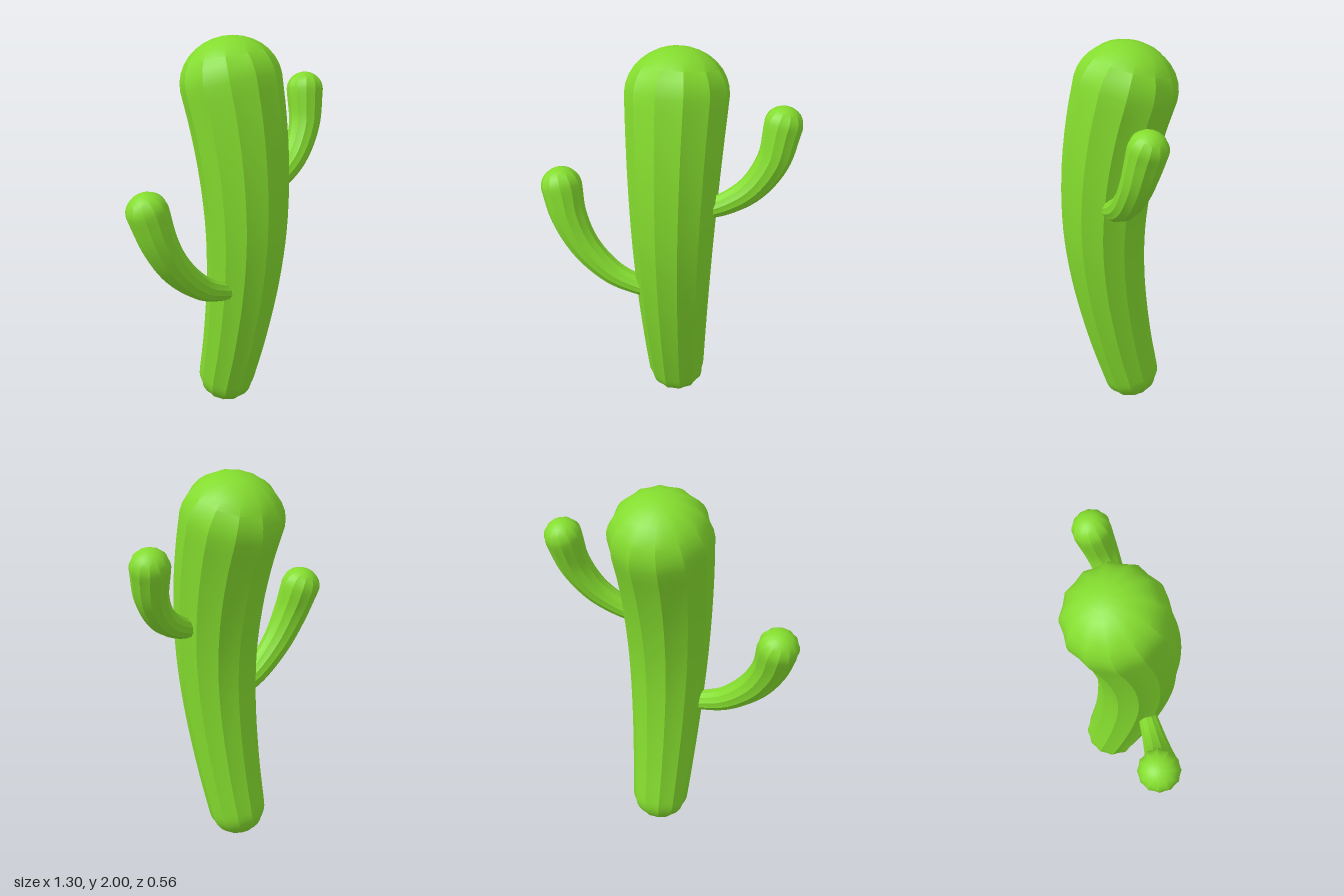
import * as THREE from 'three';
import { toCreasedNormals } from 'three/addons/utils/BufferGeometryUtils.js';

const RIBS = 12;
const SIDES = RIBS * 2; // ridge and valley alternate
const VALLEY = 0.945;
const CAP_STEPS = 8;
const BODY_STEPS = 24;

// Sweeps a ribbed section along a curve, tapering from r0 to r1, with rounded ends.
function ribbedLimb(points, r0, r1, side, capHeight = 0.95) {
  const curve = new THREE.CatmullRomCurve3(points.map((p) => new THREE.Vector3(...p)));

  // Stations: position on the curve, offset along the tangent, radius
  const stations = [];
  for (let i = 0; i <= CAP_STEPS; i++) {
    const a = (1 - i / CAP_STEPS) * Math.PI / 2;
    stations.push([0, -r0 * Math.sin(a), r0 * Math.cos(a)]);
  }
  for (let i = 1; i < BODY_STEPS; i++) {
    const t = i / BODY_STEPS;
    stations.push([t, 0, r0 + (r1 - r0) * t]);
  }
  for (let i = 0; i <= CAP_STEPS; i++) {
    const a = (i / CAP_STEPS) * Math.PI / 2;
    stations.push([1, r1 * capHeight * Math.sin(a), r1 * Math.cos(a)]);
  }

  const rings = stations.map(([t, offset, radius]) => {
    const tangent = curve.getTangentAt(t);
    const centre = curve.getPointAt(t).addScaledVector(tangent, offset);
    const u = side.clone().addScaledVector(tangent, -side.dot(tangent)).normalize();
    const v = tangent.clone().cross(u);
    const ring = [];
    for (let j = 0; j < SIDES; j++) {
      const a = (j / SIDES) * Math.PI * 2;
      const r = radius * (j % 2 ? 1 : VALLEY);
      ring.push(centre.clone().addScaledVector(u, r * Math.cos(a)).addScaledVector(v, r * Math.sin(a)));
    }
    return ring;
  });

  // Skin the rings, leaving out the collapsed triangles at the two poles
  const positions = [];
  const triangle = (...corners) => corners.forEach((c) => positions.push(c.x, c.y, c.z));
  for (let i = 0; i < rings.length - 1; i++) {
    for (let j = 0; j < SIDES; j++) {
      const k = (j + 1) % SIDES;
      const [a, b, c, d] = [rings[i][j], rings[i][k], rings[i + 1][k], rings[i + 1][j]];
      if (i > 0) triangle(a, b, i === rings.length - 2 ? rings[i + 1][0] : c);
      if (i === 0) triangle(rings[0][0], c, d);
      else if (i < rings.length - 2) triangle(a, c, d);
    }
  }
  const geometry = new THREE.BufferGeometry();
  geometry.setAttribute('position', new THREE.Float32BufferAttribute(positions, 3));
  return toCreasedNormals(geometry, THREE.MathUtils.degToRad(30));
}

export function createModel() {
  const group = new THREE.Group();
  group.name = 'cactus';
  const green = new THREE.MeshStandardMaterial({ color: 0x84dc2e });
  green.name = 'cactus green';

  const add = (name, geometry) => {
    const mesh = new THREE.Mesh(geometry, green);
    mesh.name = name;
    group.add(mesh);
  };

  // Trunk, bowed towards the front and wider at the top
  add('trunk', ribbedLimb([
    [0.04, 0.15, -0.065], [0.04, 0.4, -0.005], [0.04, 0.75, 0.055], [0.04, 1.05, 0.075],
    [0.04, 1.35, 0.055], [0.04, 1.6, 0.01], [0.04, 1.77, -0.035],
  ], 0.152, 0.256, new THREE.Vector3(1, 0, 0), 0.9));

  // Arms, curving out and up from inside the trunk
  const front = new THREE.Vector3(0, 0, 1);
  add('leftArm', ribbedLimb([
    [0.17, 1.22, 0.09], [0.27, 1.245, 0.082], [0.42, 1.34, 0.062], [0.52, 1.49, 0.035], [0.557, 1.663, 0],
  ], 0.046, 0.096, front));
  add('rightArm', ribbedLimb([
    [-0.06, 0.725, 0.09], [-0.14, 0.743, 0.085], [-0.28, 0.8, 0.075], [-0.43, 0.94, 0.055],
    [-0.515, 1.1, 0.03], [-0.551, 1.243, 0],
  ], 0.046, 0.106, front));

  return group;
}
